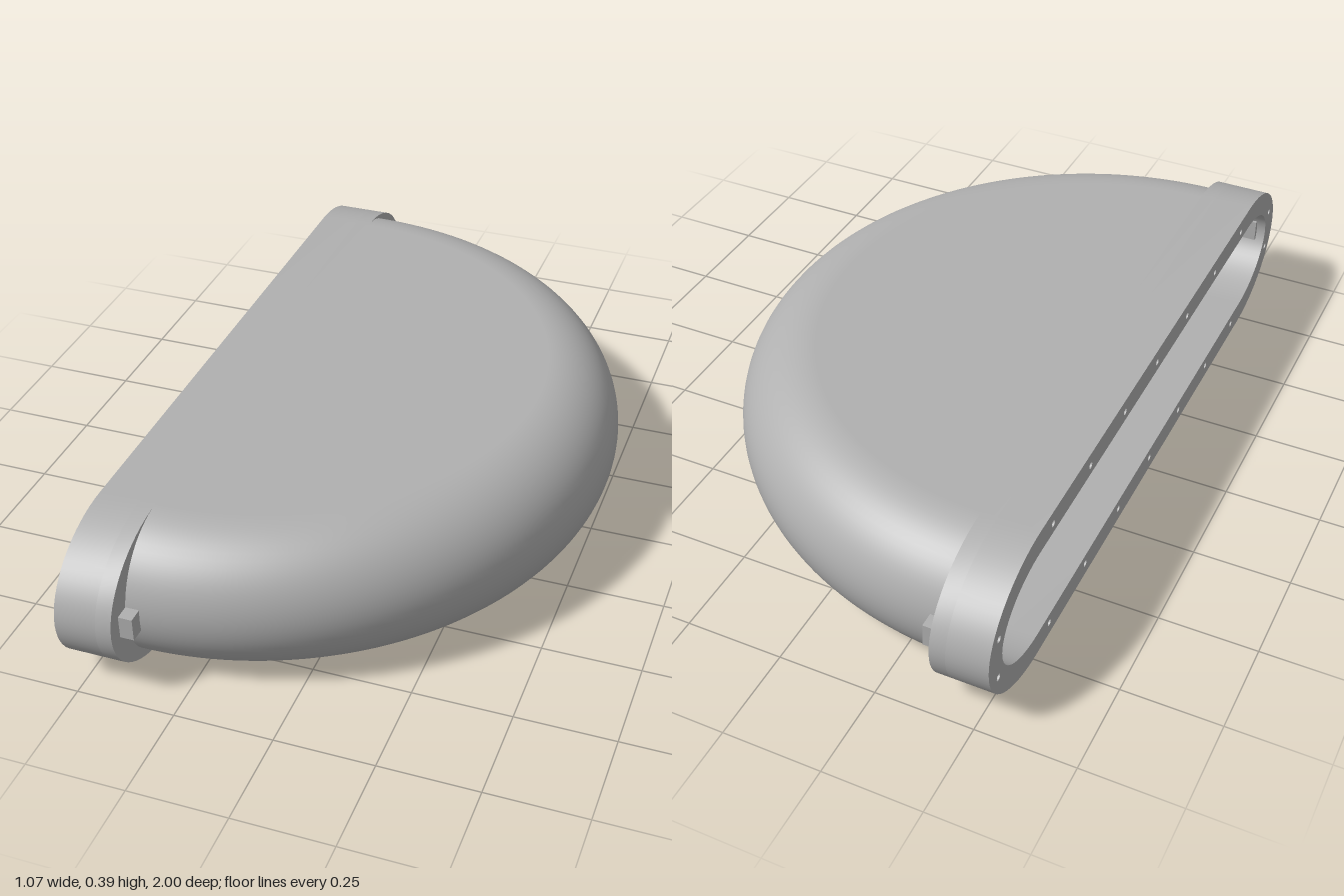
import * as THREE from 'three';
import { toCreasedNormals } from 'three/addons/utils/BufferGeometryUtils.js';

const H = 0.195;      // half height of the shell
const C = 0.73;       // where the rounded edge begins
const WALL = 0.065;
const BACK = -0.535;  // plane of the open rim
const JOIN = -0.39;   // where collar meets the half-round body

// Slot outline with elliptical ends, as points
function slot(endLength, halfHeight, n = 32) {
  const pts = [];
  for (let side = 0; side < 2; side++) {
    const s = side ? -1 : 1;
    for (let i = 0; i <= n; i++) {
      const a = -Math.PI / 2 + Math.PI * i / n;
      pts.push(new THREE.Vector2(s * (C + endLength * Math.cos(a)), s * halfHeight * Math.sin(a)));
    }
  }
  return pts;
}

function slotRing(outer, inner) {
  const shape = new THREE.Shape(outer);
  shape.holes.push(new THREE.Path(inner));
  return shape;
}

// Half-turn surface from a rounded-edge profile
function halfRound(radius, inward) {
  const pts = [new THREE.Vector2(0, -radius)];
  for (let i = 0; i <= 32; i++) {
    const a = -Math.PI / 2 + Math.PI * i / 32;
    pts.push(new THREE.Vector2(C + radius * Math.cos(a), radius * Math.sin(a)));
  }
  pts.push(new THREE.Vector2(0, radius));
  if (inward) pts.reverse();
  return new THREE.LatheGeometry(pts, 96, 0, Math.PI);
}

export function createModel() {
  const group = new THREE.Group();
  const grey = new THREE.MeshStandardMaterial({ color: 0xb0b0b0 });
  grey.name = 'plain grey';

  function add(name, geometry, x, y = H, z = 0) {
    const mesh = new THREE.Mesh(geometry, grey);
    mesh.name = name;
    mesh.position.set(x, y, z);
    group.add(mesh);
  }

  // Hollow half-round body
  add('bodyOuterShell', halfRound(H, false), JOIN);
  add('bodyInnerShell', halfRound(H - WALL, true), JOIN);
  const edge = new THREE.ShapeGeometry(slotRing(slot(H, H), slot(H - WALL, H - WALL)));
  edge.rotateY(-Math.PI / 2);
  add('bodyEndWall', edge, JOIN);

  // Collar: a drilled rim in front of a plain flange
  const outer = slot(0.27, H), inner = slot(0.2, H - WALL);
  function collar(name, start, end, holes) {
    const shape = slotRing(outer, inner);
    for (const [x, y] of holes) {
      shape.holes.push(new THREE.Path().absarc(x, y, 0.009, 0, Math.PI * 2, true));
    }
    const geo = new THREE.ExtrudeGeometry(shape, { depth: end - start, bevelEnabled: false, curveSegments: 10 });
    geo.rotateY(Math.PI / 2);
    add(name, toCreasedNormals(geo, Math.PI / 6), start);
  }
  const holes = [];
  for (const s of [-1, 1]) {
    for (let i = -3; i <= 3; i++) holes.push([i * 0.22, s * 0.158]);
    for (const t of [-1, 1]) holes.push([s * 0.948, t * 0.06]);
  }
  collar('drilledRim', BACK, -0.43, holes);
  collar('collarFlange', -0.43, JOIN, []);

  // Small locking bars through both collar ends
  for (const s of [-1, 1]) {
    add(s > 0 ? 'leftLockBar' : 'rightLockBar',
      new THREE.BoxGeometry(0.155, 0.06, 0.045), -0.4325, 0.198, s * 0.9375);
  }
  return group;
}
